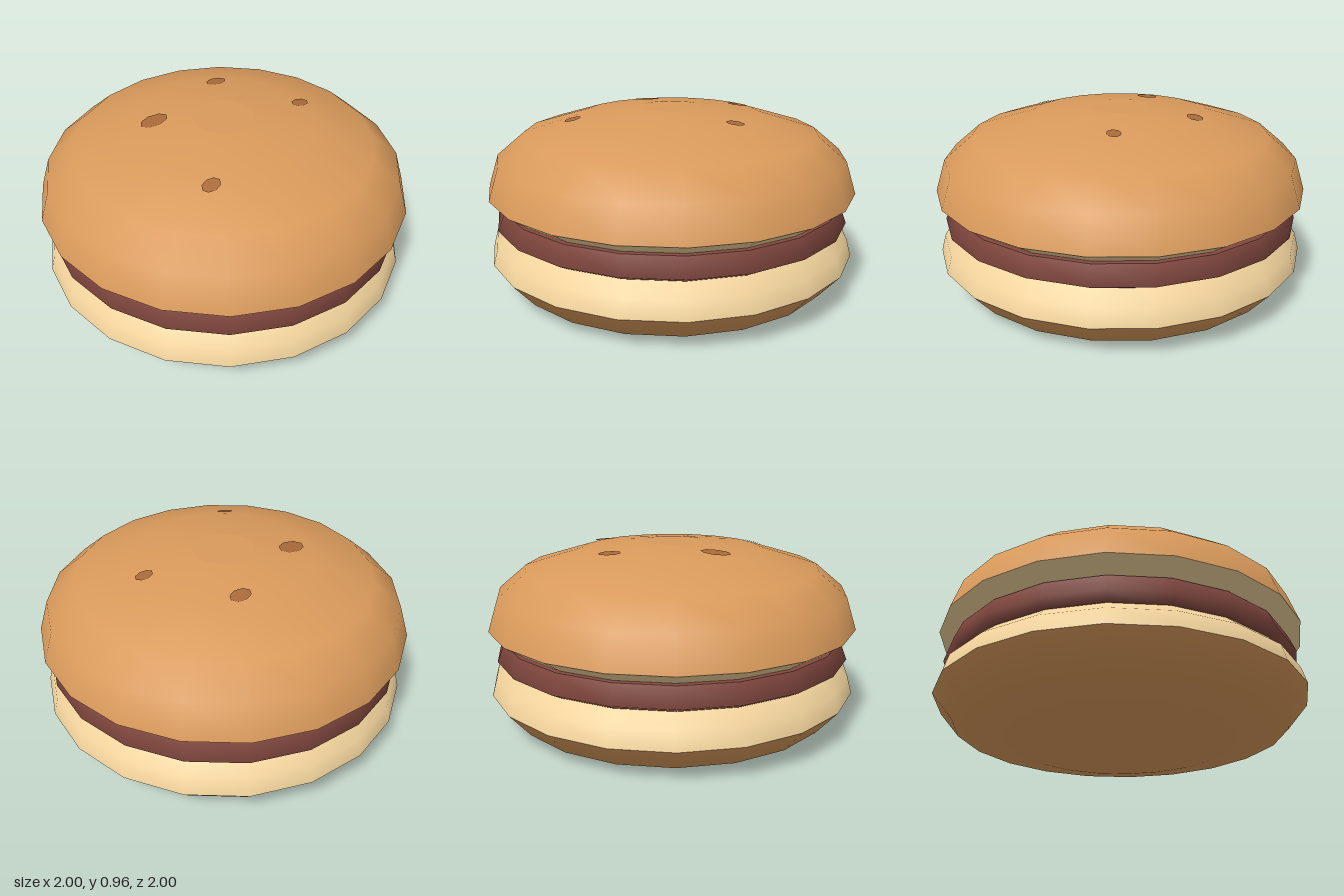
import * as THREE from 'three';

const SIDES = 20;
const material = (color) => new THREE.MeshStandardMaterial({ color, side: THREE.DoubleSide });
const CRUST = material(0xd99a5b);
const CREAM = material(0xf2d39c);
const PATTY = material(0x82483f);
const SPOT = material(0xa96a3a);

// Profiles run bottom to top as [radius, y]
const DOME = [[1, 0.54], [0.945, 0.71], [0.795, 0.835], [0.48, 0.93], [0.165, 0.963]];

function add(parent, name, geometry, mat) {
  const mesh = new THREE.Mesh(geometry, mat);
  mesh.name = name;
  parent.add(mesh);
  return mesh;
}

function ring(parent, name, profile, mat) {
  const points = profile.map(([r, y]) => new THREE.Vector2(r, y));
  return add(parent, name, new THREE.LatheGeometry(points, SIDES), mat);
}

// Flat disc closing a ring; dir is 1 facing up, -1 facing down
function cap(parent, name, radius, y, dir, mat) {
  const geometry = new THREE.CircleGeometry(radius, SIDES).rotateX(-dir * Math.PI / 2);
  add(parent, name, geometry, mat).position.y = y;
}

// Height and slope of the dome at a distance from its axis
function domeAt(r) {
  for (let i = DOME.length - 1; i > 0; i--) {
    const [r0, y0] = DOME[i], [r1, y1] = DOME[i - 1];
    if (r <= r1) {
      const slope = (y1 - y0) / (r1 - r0);
      return { y: y0 + slope * (r - r0), slope };
    }
  }
}

export function createModel() {
  const model = new THREE.Group();
  model.name = 'sandwichBun';

  // Bottom bun
  const bottom = new THREE.Group();
  bottom.name = 'bottomBun';
  ring(bottom, 'bottomCrust', [[0.6, 0], [0.89, 0.06], [1, 0.19]], CRUST);
  ring(bottom, 'bottomCream', [[1, 0.19], [0.975, 0.28], [0.9, 0.347]], CREAM);
  cap(bottom, 'bottomBase', 0.6, 0, -1, CRUST);
  cap(bottom, 'bottomCut', 0.9, 0.347, 1, CREAM);

  // Patty
  const patty = new THREE.Group();
  patty.name = 'patty';
  ring(patty, 'pattySide', [[0.91, 0.345], [0.963, 0.375], [0.925, 0.472]], PATTY);
  cap(patty, 'pattyBase', 0.91, 0.345, -1, PATTY);
  cap(patty, 'pattyTop', 0.925, 0.472, 1, PATTY);

  // Top bun
  const top = new THREE.Group();
  top.name = 'topBun';
  ring(top, 'topCrust', DOME, CRUST);
  ring(top, 'topCream', [[0.9, 0.474], [1, 0.54]], CREAM);
  cap(top, 'topCap', 0.165, 0.963, 1, CRUST);
  cap(top, 'topCut', 0.9, 0.474, -1, CREAM);

  // Dark spots laid on the dome: x, z, half width, half depth
  const spots = [
    [-0.295, -0.208, 0.08, 0.055],
    [0.222, -0.355, 0.062, 0.044],
    [0.443, 0.107, 0.051, 0.038],
    [-0.37, 0.385, 0.051, 0.038],
  ];
  for (const [x, z, w, d] of spots) {
    const r = Math.hypot(x, z);
    const { y, slope } = domeAt(r);
    const geometry = new THREE.CircleGeometry(1, 8).rotateX(-Math.PI / 2).scale(w, 1, d);
    const spot = add(top, 'spot', geometry, SPOT);
    const normal = new THREE.Vector3(-slope * x / r, 1, -slope * z / r).normalize();
    spot.quaternion.setFromUnitVectors(new THREE.Vector3(0, 1, 0), normal);
    spot.position.set(x, y, z).addScaledVector(normal, 0.004);
  }

  model.add(bottom, patty, top);
  return model;
}
